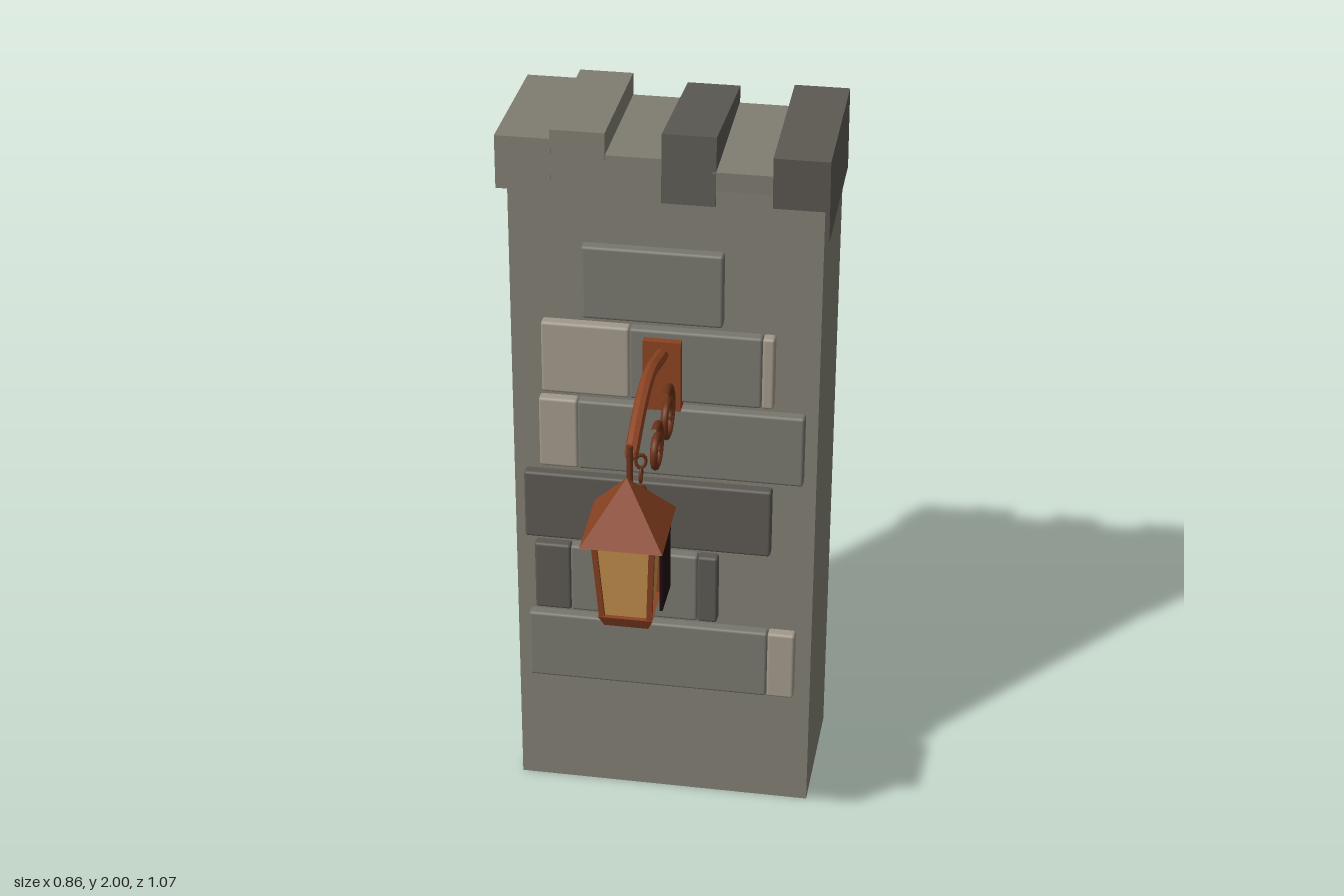
import * as THREE from 'three';
import { RoundedBoxGeometry } from 'three/addons/geometries/RoundedBoxGeometry.js';

const mat = (name, color, flatShading = false) => {
  const m = new THREE.MeshStandardMaterial({ color, flatShading });
  m.name = name;
  return m;
};

export function createModel() {
  const stone = mat('stone', 0x7f7c71);
  const darkStone = mat('darkStone', 0x5b5852);
  const midStone = mat('midStone', 0x77766d);
  const paleStone = mat('paleStone', 0xa0988a);
  const rust = mat('rust', 0x8a4222, true);
  const iron = mat('iron', 0x6c3219);
  const amber = mat('amberGlass', 0xc8934e, true);
  const black = mat('darkGlass', 0x1e0b0e);

  const model = new THREE.Group();
  model.name = 'wallLantern';

  const add = (name, geo, material, pos = [0, 0, 0], parent = model) => {
    const m = new THREE.Mesh(geo, material);
    m.name = name;
    m.position.set(...pos);
    parent.add(m);
    return m;
  };
  // box given by its limits on each axis
  const box = (name, material, [x0, x1], [y0, y1], [z0, z1], tilt = 0, parent = model) => {
    const m = add(name, new THREE.BoxGeometry(x1 - x0, y1 - y0, z1 - z0), material,
      [(x0 + x1) / 2, (y0 + y1) / 2, (z0 + z1) / 2], parent);
    m.rotation.x = tilt;
    return m;
  };

  // wall and its uneven top stones
  const depth = [-0.52, -0.115];
  box('wall', stone, [-0.4, 0.418], [0, 1.9], depth);
  box('topStoneEnd', stone, [-0.43, -0.285], [1.82, 1.965], [-0.525, -0.112]);
  box('topStoneHigh', stone, [-0.287, -0.145], [1.8, 1.99], [-0.523, -0.113]);
  box('topStoneLow', stone, [-0.146, 0.01], [1.8, 1.93], [-0.521, -0.114]);
  box('topStoneDark', darkStone, [0, 0.14], [1.8, 1.985], [-0.521, -0.112], -0.06);
  box('topStoneTilted', stone, [0.13, 0.295], [1.8, 1.917], depth, 0.06);
  box('topStoneCorner', darkStone, [0.285, 0.43], [1.745, 1.975], [-0.52, -0.112], 0.084);

  // courses of raised bricks: bottom, top, then [x0, x1, material] along the row
  const courses = [
    [1.48, 1.685, [[-0.205, 0.165, midStone]]],
    [1.255, 1.46, [[-0.315, -0.08, paleStone], [-0.08, 0.27, midStone], [0.27, 0.302, paleStone]]],
    [1.03, 1.235, [[-0.325, -0.22, paleStone], [-0.22, 0.385, midStone]]],
    [0.805, 1.006, [[-0.37, 0.302, darkStone]]],
    [0.58, 0.785, [[-0.345, -0.245, darkStone], [-0.245, 0.105, midStone], [0.105, 0.16, darkStone]]],
    [0.355, 0.56, [[-0.365, 0.3, midStone], [0.3, 0.375, paleStone]]],
  ];
  for (const [y0, y1, bricks] of courses) {
    for (const [x0, x1, m] of bricks) {
      add('brick', new RoundedBoxGeometry(x1 - x0, y1 - y0, 0.05, 2, 0.008), m,
        [(x0 + x1) / 2, (y0 + y1) / 2, -0.11]);
    }
  }

  // bracket plate and arched arm
  box('wallPlate', rust, [-0.04, 0.06], [1.24, 1.44], [-0.115, -0.063]);
  const tube = (name, pts, r, sides, material) => add(name, new THREE.TubeGeometry(
    new THREE.CatmullRomCurve3(pts.map(p => new THREE.Vector3(...p))), pts.length * 6, r, sides), material);
  const arm = [[-0.08, 1.4], [0, 1.418], [0.08, 1.438], [0.15, 1.442], [0.23, 1.427], [0.31, 1.393], [0.38, 1.355]];
  tube('arm', arm.map(([z, y]) => [0.01, y, z]), 0.018, 8, rust);
  add('armTip', new THREE.SphereGeometry(0.018, 8, 6), rust, [0.01, 1.355, 0.38]);

  // scrolls under the arm
  const scroll = (z, y, size) => {
    const pts = [];
    for (let i = 0; i <= 24; i++) {
      const t = i / 24, a = 1.15 + t * 9.8, r = size * (1 - 0.72 * t);
      pts.push([0.05, y + r * Math.sin(a), z + r * Math.cos(a)]);
    }
    tube('scroll', pts, 0.01, 8, iron);
  };
  scroll(0.083, 1.308, 0.078);
  scroll(0.248, 1.302, 0.066);

  // hanging pin and small chain links
  add('hangingPin', new THREE.CylinderGeometry(0.008, 0.008, 0.1, 8), iron, [0.01, 1.34, 0.403]);
  [1.325, 1.285, 1.235].forEach((y, i) => {
    const link = add('chainLink', new THREE.TorusGeometry(0.013, 0.004, 6, 12), iron, [0.03, y, 0.36]);
    link.scale.y = 1.4;
    link.rotation.y = i % 2 ? Math.PI / 2 : 0.3;
  });

  // lantern, leaning slightly forward from its foot
  const lantern = new THREE.Group();
  lantern.name = 'lantern';
  lantern.position.set(0.01, 0.905, 0.407);
  lantern.rotation.x = 0.095;
  model.add(lantern);
  // square frustum with half widths at bottom and top
  const frustum = (name, b, t, y0, y1, material) => {
    const g = new THREE.CylinderGeometry(t * Math.SQRT2, b * Math.SQRT2, y1 - y0, 4);
    g.rotateY(Math.PI / 4);
    return add(name, g, material, [0, (y0 + y1) / 2, 0], lantern);
  };
  frustum('lanternFoot', 0.056, 0.07, 0, 0.035, rust);
  frustum('lanternGlass', 0.058, 0.072, 0.03, 0.27, amber);
  frustum('lanternCollar', 0.078, 0.08, 0.255, 0.275, rust);
  frustum('lanternRoof', 0.104, 0.001, 0.27, 0.42, rust);
  // corner posts follow the taper of the glass
  for (const sx of [-1, 1]) {
    for (const sz of [-1, 1]) {
      const g = new THREE.BoxGeometry(0.014, 0.24, 0.014);
      const p = g.attributes.position;
      for (let i = 0; i < p.count; i++) {
        const o = p.getY(i) > 0 ? 0.073 : 0.06;
        p.setX(i, p.getX(i) + sx * o);
        p.setZ(i, p.getZ(i) + sz * o);
      }
      g.computeVertexNormals();
      add('cornerPost', g, rust, [0, 0.15, 0], lantern);
    }
  }
  // dark pane standing beside the glass
  box('sidePane', black, [0.094, 0.102], [0.955, 1.147], [0.338, 0.46]);
  return model;
}
